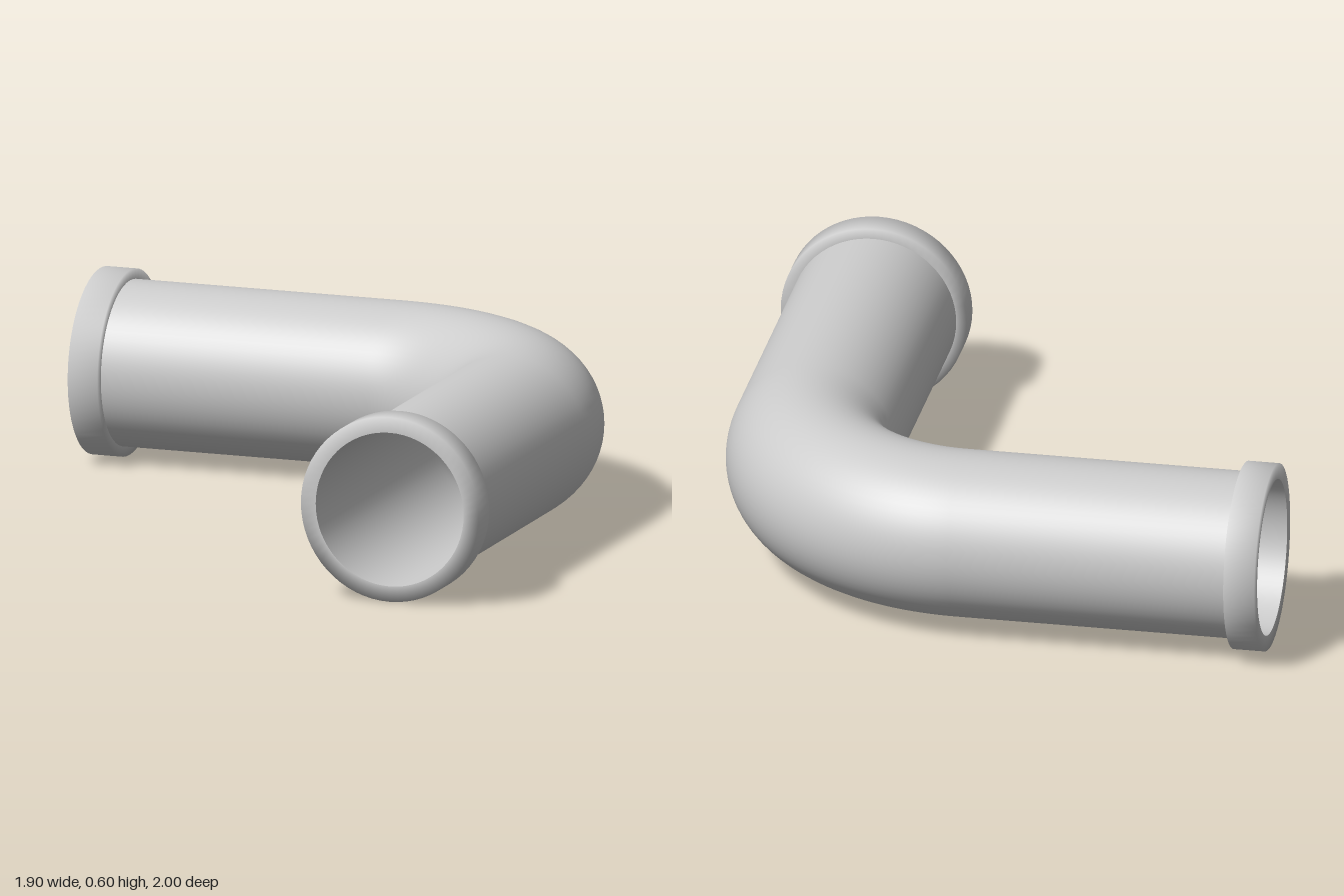
import * as THREE from 'three';

const AXIS_Y = 0.3, BORE = 0.25, PIPE = 0.267, COLLAR = 0.3, COLLAR_LENGTH = 0.1;
const BEND = 0.6, LEG_A = 1, LEG_B = 1.1, ARC = BEND * Math.PI / 2;
const TOTAL = LEG_A + ARC + LEG_B;

// Centre line: straight leg, quarter bend, straight leg, measured by length
class ElbowCurve extends THREE.Curve {
  constructor(start, end) {
    super();
    this.start = start;
    this.end = end;
  }
  getPoint(t, target = new THREE.Vector3()) {
    const s = this.start + (this.end - this.start) * t;
    if (s < LEG_A) return target.set(s - 0.95, AXIS_Y, -0.7);
    if (s > LEG_A + ARC) return target.set(0.65, AXIS_Y, s - LEG_A - ARC - 0.1);
    const a = (s - LEG_A) / BEND;
    return target.set(0.05 + BEND * Math.sin(a), AXIS_Y, -0.1 - BEND * Math.cos(a));
  }
}

// Turns a surface inside out
function flip(geometry) {
  const index = geometry.index.array;
  for (let i = 0; i < index.length; i += 3) {
    [index[i], index[i + 1]] = [index[i + 1], index[i]];
  }
  const normal = geometry.attributes.normal;
  for (let i = 0; i < normal.array.length; i++) normal.array[i] *= -1;
  return geometry;
}

export function createModel() {
  const group = new THREE.Group();
  group.name = 'pipeElbow';
  const material = new THREE.MeshStandardMaterial({ color: 0xcccccc });

  function add(name, geometry) {
    const mesh = new THREE.Mesh(geometry, material);
    mesh.name = name;
    group.add(mesh);
    return mesh;
  }

  // Outer wall between the collars, and the bore running end to end
  const wallPath = new ElbowCurve(COLLAR_LENGTH, TOTAL - COLLAR_LENGTH);
  add('outerWall', new THREE.TubeGeometry(wallPath, 120, PIPE, 64));
  add('bore', flip(new THREE.TubeGeometry(new ElbowCurve(0, TOTAL), 120, BORE, 64)));

  // End collars, softly shaded from back shoulder to mouth
  const profile = [
    [PIPE - 0.005, -COLLAR_LENGTH], [COLLAR, -COLLAR_LENGTH], [COLLAR, 0], [BORE, 0],
  ].map(([r, y]) => new THREE.Vector2(r, y));
  const collar = new THREE.LatheGeometry(profile, 64);

  const front = add('frontCollar', collar);
  front.position.set(0.65, AXIS_Y, 1);
  front.rotation.x = Math.PI / 2;

  const side = add('sideCollar', collar);
  side.position.set(-0.95, AXIS_Y, -0.7);
  side.rotation.z = Math.PI / 2;

  return group;
}
